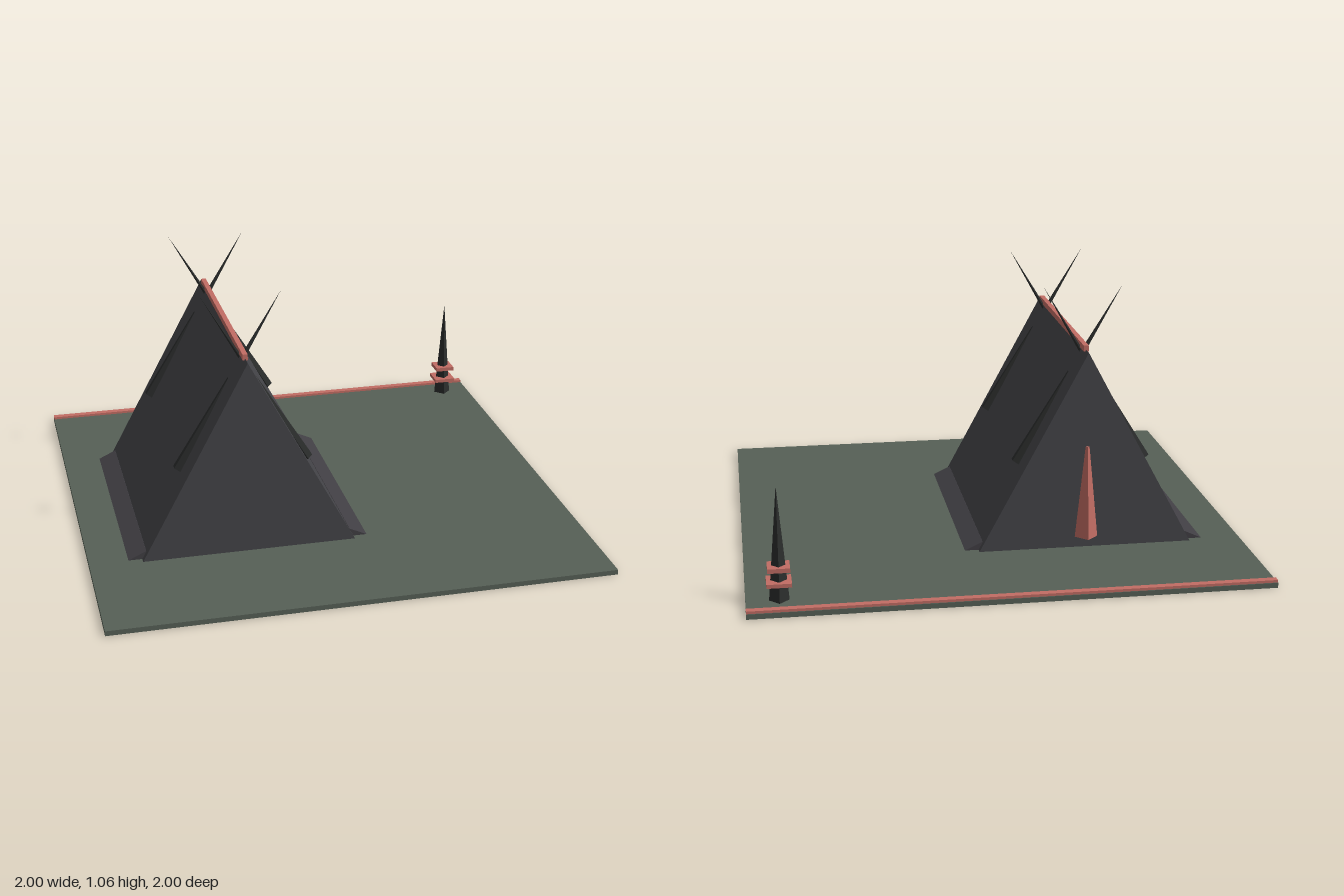
import * as THREE from 'three';

const mat = (name, color) => {
  const m = new THREE.MeshStandardMaterial({ color });
  m.name = name;
  return m;
};

export function createModel() {
  const model = new THREE.Group();
  const moss = mat('moss green', 0x566056);
  const canvas = mat('charcoal canvas', 0x444448);
  const skirtGrey = mat('skirt grey', 0x403e43);
  const iron = mat('dark iron', 0x2b2d2c);
  const coral = mat('coral trim', 0xc26d64);

  const add = (parent, name, geometry, material, x = 0, y = 0, z = 0) => {
    const mesh = new THREE.Mesh(geometry, material);
    mesh.name = name;
    mesh.position.set(x, y, z);
    parent.add(mesh);
    return mesh;
  };
  const box = (w, h, d) => new THREE.BoxGeometry(w, h, d);
  // Faceted taper with hard edges
  const taper = (top, bottom, h, sides) => {
    const g = new THREE.CylinderGeometry(top, bottom, h, sides).toNonIndexed();
    g.computeVertexNormals();
    return g;
  };
  // Prism running along z, centred on z = 0
  const prism = (points, depth) => {
    const shape = new THREE.Shape(points.map(([x, y]) => new THREE.Vector2(x, y)));
    const g = new THREE.ExtrudeGeometry(shape, { depth, bevelEnabled: false });
    return g.translate(0, 0, -depth / 2);
  };

  // Ground slab and its raised back edge
  add(model, 'ground', box(2, 0.02, 2), moss, 0, 0.01, 0);
  add(model, 'backEdgeStrip', box(2, 0.012, 0.028), coral, 0, 0.024, -0.982);

  // Tent
  const tent = new THREE.Group();
  tent.name = 'tent';
  tent.position.x = -0.36;
  model.add(tent);
  add(tent, 'tentBody', prism([[-0.43, 0.02], [0.43, 0.02], [0, 0.82]], 1.02), canvas);
  add(tent, 'ridgeStrip', box(0.02, 0.024, 0.92), coral, 0, 0.825, 0);
  add(tent, 'backSpike', taper(0.008, 0.046, 0.375, 4), coral, 0, 0.2525, -0.516);

  const up = new THREE.Vector3(0, 1, 0);
  for (const s of [-1, 1]) {
    // Flared skirt along each long side
    const skirt = [[0.38, 0.02], [0.485, 0.02], [0.414, 0.053]].map(([x, y]) => [s * x, y]);
    add(tent, s < 0 ? 'rightSkirt' : 'leftSkirt', prism(skirt, 0.97), skirtGrey);

    // Crossed poles, thick at the foot and pointed above the ridge
    for (const z of [-0.385, 0.385]) {
      const foot = new THREE.Vector3(s * 0.26, 0.347, z);
      const tip = new THREE.Vector3(-s * 0.158, 1.06, z);
      const axis = tip.clone().sub(foot);
      const pole = add(tent, 'crossedPole', taper(0, 0.025, axis.length(), 6), iron);
      pole.position.copy(foot).add(tip).multiplyScalar(0.5);
      pole.quaternion.setFromUnitVectors(up, axis.normalize());
    }
  }

  // Corner marker with two square collars
  const marker = new THREE.Group();
  marker.name = 'cornerMarker';
  marker.position.set(0.875, 0, -0.88);
  model.add(marker);
  add(marker, 'markerSpire', taper(0, 0.038, 0.445, 4), iron, 0, 0.2425, 0);
  add(marker, 'lowerCollar', box(0.094, 0.015, 0.094), coral, 0, 0.093, 0);
  add(marker, 'upperCollar', box(0.084, 0.017, 0.084), coral, 0, 0.15, 0);

  return model;
}
